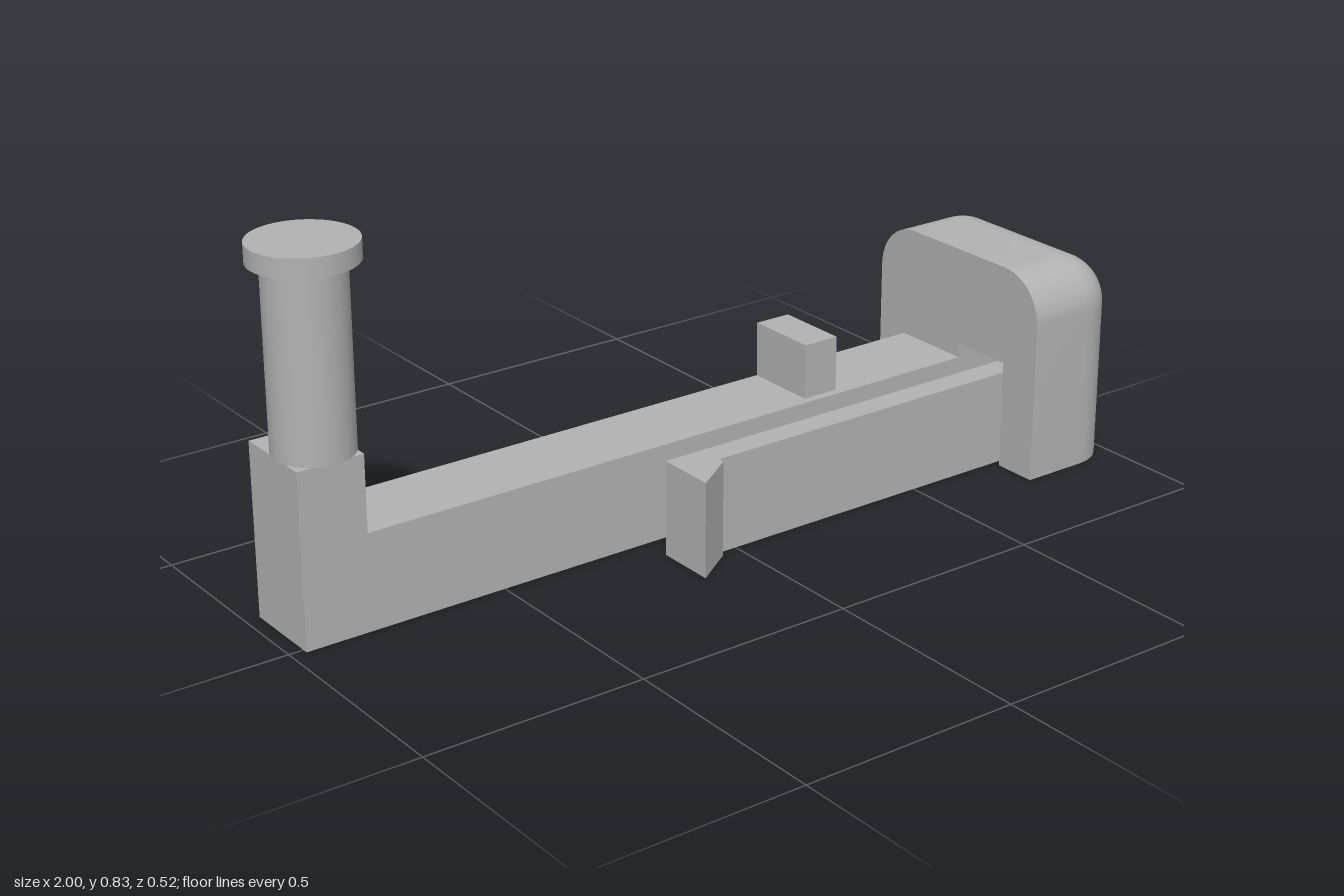
import * as THREE from 'three';
import { toCreasedNormals } from 'three/addons/utils/BufferGeometryUtils.js';

const grey = new THREE.MeshStandardMaterial({ color: 0xb2b2b2 });
grey.name = 'plain grey';

function add(group, name, geometry, x = 0, y = 0, z = 0) {
  const mesh = new THREE.Mesh(geometry, grey);
  mesh.name = name;
  mesh.position.set(x, y, z);
  group.add(mesh);
}

// Box given by its lower and upper corners
function addBox(group, name, [x0, y0, z0], [x1, y1, z1]) {
  add(group, name, new THREE.BoxGeometry(x1 - x0, y1 - y0, z1 - z0),
    (x0 + x1) / 2, (y0 + y1) / 2, (z0 + z1) / 2);
}

// Head outline with rounded upper corners, as [z, y] points, shrunk by an inset
const HALF = 0.262, TOP = 0.475, CORNER = 0.109, FILLET = 0.107, STEPS = 12;
function headOutline(inset) {
  const r = CORNER - inset, w = HALF - inset, h = TOP - inset;
  const points = [[w, 0]];
  for (const side of [0, 1]) {
    for (let i = 0; i <= STEPS; i++) {
      const a = (side + i / STEPS) * Math.PI / 2;
      const cz = side ? -(w - r) : w - r;
      points.push([cz + r * Math.cos(a), h - r + r * Math.sin(a)]);
    }
  }
  points.push([-w, 0]);
  return points;
}

// Filleted outer end of the head, lofted along x
function headNose(x0) {
  const pos = [], index = [];
  const n = headOutline(0).length;
  for (let k = 0; k <= STEPS; k++) {
    const a = k / STEPS * Math.PI / 2;
    for (const [z, y] of headOutline(FILLET * (1 - Math.cos(a)))) {
      pos.push(x0 + FILLET * Math.sin(a), y, z);
    }
  }
  const back = pos.length / 3, front = back + 1, last = STEPS * n;
  pos.push(x0, 0.2, 0, x0 + FILLET, 0.2, 0);
  for (let i = 0; i < n; i++) {
    const j = (i + 1) % n;
    for (let k = 0; k < STEPS; k++) {
      const a = k * n + i, b = k * n + j;
      index.push(a, a + n, b, b, a + n, b + n);
    }
    index.push(back, i, j, front, last + j, last + i);
  }
  const g = new THREE.BufferGeometry();
  g.setAttribute('position', new THREE.Float32BufferAttribute(pos, 3));
  g.setIndex(index);
  return toCreasedNormals(g, 0.6);
}

export function createModel() {
  const model = new THREE.Group();
  model.name = 'latch';
  const headX = 0.74, noseX = 0.893;

  // Main arm with raised end and small stop
  addBox(model, 'arm', [-0.967, 0, -0.178], [headX, 0.217, 0.013]);
  addBox(model, 'postBase', [-0.967, 0.217, -0.178], [-0.817, 0.388, 0.013]);
  addBox(model, 'stop', [0.305, 0.217, -0.178], [0.392, 0.343, -0.006]);

  // Round post and cap
  add(model, 'post', new THREE.CylinderGeometry(0.086, 0.086, 0.397, 64), -0.887, 0.5865, -0.061);
  add(model, 'postCap', new THREE.CylinderGeometry(0.113, 0.113, 0.042, 64), -0.887, 0.805, -0.061);

  // Spring clip with hooked tip, rooted in the slot of the head
  const clip = new THREE.Shape([
    [noseX, 0.083], [-0.14, 0.083], [-0.14, 0.222], [-0.045, 0.157], [-0.045, 0.142], [noseX, 0.142],
  ].map(([x, z]) => new THREE.Vector2(x, -z)));
  const clipGeometry = new THREE.ExtrudeGeometry(clip, { depth: 0.217, bevelEnabled: false });
  add(model, 'springClip', clipGeometry.rotateX(-Math.PI / 2));

  // Head: slotted body and rounded nose
  const outline = headOutline(0).concat([[0.013, 0], [0.013, 0.25], [0.16, 0.25], [0.16, 0]]);
  const body = new THREE.ExtrudeGeometry(
    new THREE.Shape(outline.map(([z, y]) => new THREE.Vector2(-z, y))),
    { depth: noseX - headX, bevelEnabled: false });
  add(model, 'headBody', toCreasedNormals(body.rotateY(Math.PI / 2), 0.6), headX);
  add(model, 'headNose', headNose(noseX));
  return model;
}
